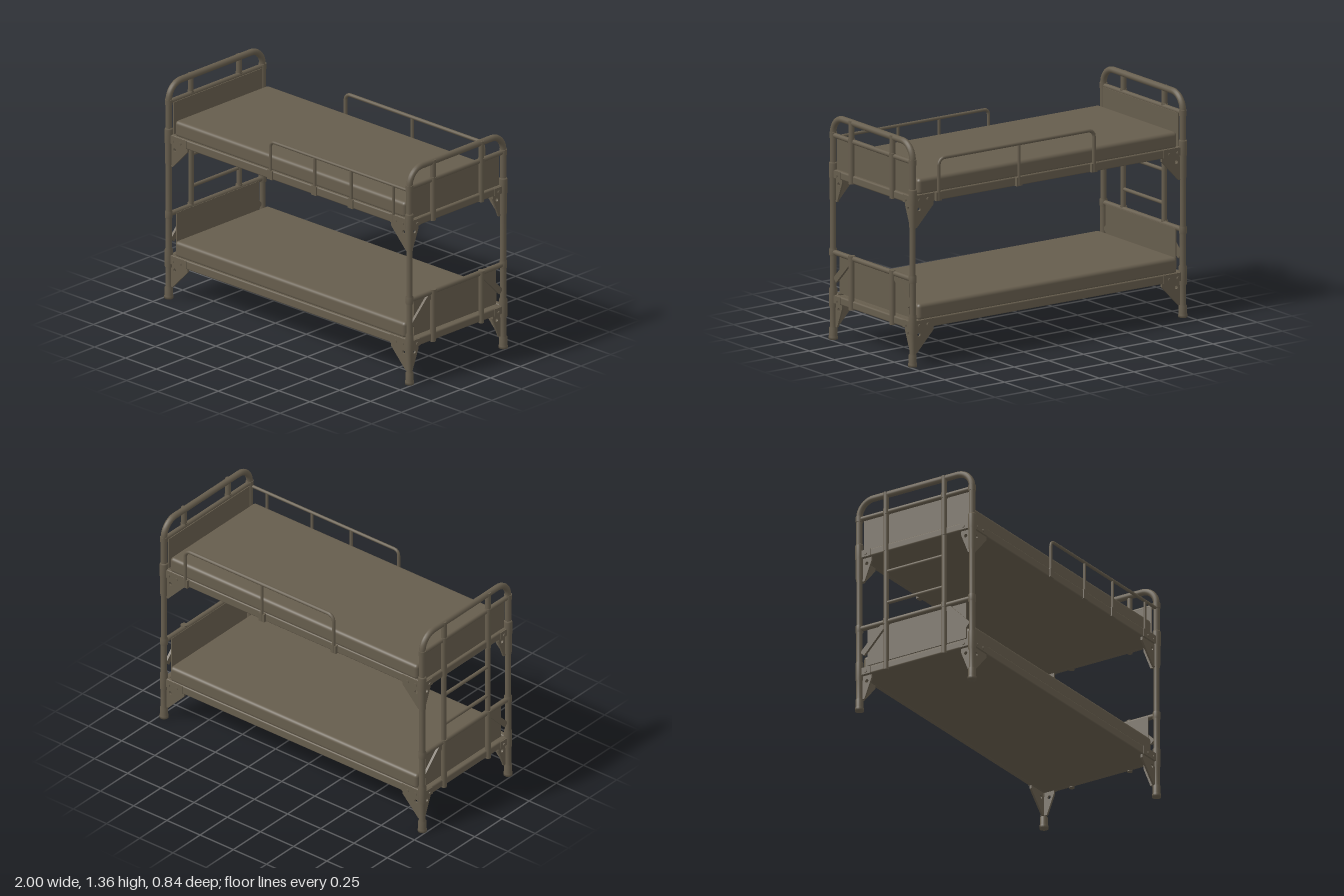
import * as THREE from 'three';
import { RoundedBoxGeometry } from 'three/addons/geometries/RoundedBoxGeometry.js';

const olive = new THREE.MeshStandardMaterial({ color: 0x665d4d });
olive.name = 'drab olive';

const V = (x, y, z) => new THREE.Vector3(x, y, z);
const SIDES = [-1, 1];
const PX = 0.973, PZ = 0.394; // post centres

function add(parent, name, geometry, x = 0, y = 0, z = 0) {
  const mesh = new THREE.Mesh(geometry, olive);
  mesh.name = name;
  mesh.position.set(x, y, z);
  parent.add(mesh);
  return mesh;
}

// Straight round bar between two points
function rod(parent, name, a, b, r, r2 = r) {
  const mesh = add(parent, name, new THREE.CylinderGeometry(r2, r, a.distanceTo(b), 16));
  mesh.position.copy(a).add(b).multiplyScalar(0.5);
  mesh.quaternion.setFromUnitVectors(V(0, 1, 0), b.clone().sub(a).normalize());
  return mesh;
}

// Round tube through points, with rounded bends
function bentTube(parent, name, pts, r, bend) {
  const path = new THREE.CurvePath();
  let from = pts[0];
  for (let i = 1; i < pts.length - 1; i++) {
    const p = pts[i];
    const a = p.clone().add(pts[i - 1].clone().sub(p).setLength(bend));
    const b = p.clone().add(pts[i + 1].clone().sub(p).setLength(bend));
    const k = 0.552; // cubic approximation of a quarter circle
    path.add(new THREE.LineCurve3(from, a));
    path.add(new THREE.CubicBezierCurve3(a, a.clone().lerp(p, k), b.clone().lerp(p, k), b));
    from = b;
  }
  path.add(new THREE.LineCurve3(from, pts[pts.length - 1]));
  return add(parent, name, new THREE.TubeGeometry(path, 90, r, 12));
}

// Triangular corner plate: corner at the origin, running to -x and -y
function gussetGeometry(w, h, t) {
  const s = new THREE.Shape();
  s.moveTo(0, 0);
  s.lineTo(-w, 0);
  s.lineTo(-w, -0.02);
  s.lineTo(-0.02, -h);
  s.lineTo(0, -h);
  s.closePath();
  const hole = new THREE.Path();
  hole.absarc(-0.036, -0.035, 0.011, 0, Math.PI * 2, true);
  s.holes.push(hole);
  const g = new THREE.ExtrudeGeometry(s, { depth: t, bevelEnabled: false, curveSegments: 10 });
  return g.translate(0, 0, -t / 2);
}

// Leg, foot and joint sleeves of one corner
function makePost(root, sx, sz) {
  const post = new THREE.Group();
  post.name = 'cornerPost';
  post.position.set(sx * PX, 0, sz * PZ);
  root.add(post);
  const profile = [[0, 0], [0.027, 0], [0.027, 0.015], [0.024, 0.025], [0.024, 0.07], [0.019, 0.076],
    [0.019, 0.19], [0.024, 0.2], [0.024, 0.305], [0.019, 0.315], [0.019, 0.5], [0.023, 0.505],
    [0.023, 0.545], [0.018, 0.55], [0.018, 0.83], [0.022, 0.85], [0.022, 0.97], [0.025, 0.975],
    [0.025, 1.06], [0.021, 1.068], [0, 1.068]];
  const points = profile.map(([r, y]) => new THREE.Vector2(r, y));
  const lathe = new THREE.LatheGeometry(points, 20);
  add(post, 'leg', lathe);
  add(post, 'railClamp', new THREE.CylinderGeometry(0.023, 0.023, 0.034, 16), 0, 1.23, 0);
}

// Frame, deck, corner plates and mattress of one bunk; y is the rail bottom
function makeBunk(root, y) {
  const bunk = new THREE.Group();
  bunk.name = 'bunk';
  bunk.position.y = y;
  root.add(bunk);
  add(bunk, 'mattress', new RoundedBoxGeometry(1.865, 0.1, 0.785, 4, 0.022), -0.002, 0.096, -0.004);
  add(bunk, 'deck', new THREE.BoxGeometry(1.91, 0.04, 0.76), 0, 0.022, 0);
  for (const s of SIDES) {
    add(bunk, 'sideRail', new RoundedBoxGeometry(1.92, 0.055, 0.03, 2, 0.008), 0, 0.0275, s * 0.385);
    add(bunk, 'endRail', new RoundedBoxGeometry(0.032, 0.05, 0.76, 2, 0.01), s * 0.965, 0.025, 0);
  }
  for (const sx of SIDES) for (const sz of SIDES) {
    const corner = new THREE.Group();
    corner.name = 'cornerBracket';
    bunk.add(corner);
    const side = add(corner, 'sideGusset', gussetGeometry(0.14, 0.145, 0.012), sx * 0.962, 0, sz * 0.388);
    if (sx < 0) side.rotation.y = Math.PI;
    const end = add(corner, 'endGusset', gussetGeometry(0.07, 0.145, 0.012), sx * 0.962, 0, sz * 0.382);
    end.rotation.y = -sz * Math.PI / 2;
    add(corner, 'sidePlate', new THREE.BoxGeometry(0.13, 0.05, 0.008), sx * 0.89, 0.0275, sz * 0.4);
    add(corner, 'endPlate', new THREE.BoxGeometry(0.008, 0.044, 0.06), sx * 0.981, 0.025, sz * 0.342);
    for (const bx of [0.87, 0.93]) {
      const bolt = add(corner, 'bolt', new THREE.CylinderGeometry(0.01, 0.01, 0.01, 6), sx * bx, 0.022, sz * 0.405);
      bolt.rotation.x = Math.PI / 2;
    }
    const endBolt = add(corner, 'bolt', new THREE.CylinderGeometry(0.009, 0.009, 0.01, 6), sx * 0.986, 0.02, sz * 0.342);
    endBolt.rotation.z = Math.PI / 2;
  }
}

// Hoop, cross bars, uprights and panels of one end
function makeEnd(root, s) {
  const end = new THREE.Group();
  end.name = s > 0 ? 'leftEnd' : 'rightEnd';
  root.add(end);
  const x = s * PX;
  bentTube(end, 'hoop', [V(x, 1.0, PZ), V(x, 1.342, PZ), V(x, 1.342, -PZ), V(x, 1.0, -PZ)], 0.0195, 0.1);
  rod(end, 'upperCrossBar', V(x, 1.23, -PZ), V(x, 1.23, PZ), 0.015);
  rod(end, 'lowerCrossBar', V(x, 0.525, -PZ), V(x, 0.525, PZ), 0.016);
  add(end, 'upperPanel', new THREE.BoxGeometry(0.008, 0.2, 0.74), s * 0.958, 1.125, 0);
  add(end, 'lowerPanel', new THREE.BoxGeometry(0.008, 0.24, 0.69), s * 0.958, 0.405, 0);
  for (const sz of SIDES) {
    const z = sz * 0.203, ux = s * 0.979;
    rod(end, 'upperUpright', V(ux, 0.975, z), V(ux, 1.355, z), 0.017);
    rod(end, 'lowerUpright', V(ux, 0.215, z), V(ux, 0.54, z), 0.017);
    const strap = add(end, 'diagonalStrap', new THREE.BoxGeometry(0.016, 0.215, 0.036), s * 0.972, 0.435, sz * 0.295);
    strap.rotation.x = -sz * 0.78;
    for (const y of [0.525, 1.23]) {
      add(end, 'barClamp', new THREE.CylinderGeometry(0.02, 0.02, 0.034, 14), ux, y, z);
    }
  }
}

// Two stiles and two rungs between the bunks
function makeLadder(root) {
  const ladder = new THREE.Group();
  ladder.name = 'ladder';
  root.add(ladder);
  for (const s of SIDES) rod(ladder, 'stile', V(-0.977, 0.5, s * 0.203), V(-0.977, 1.0, s * 0.203), 0.016);
  for (const y of [0.645, 0.845]) rod(ladder, 'rung', V(-0.977, y, -0.2), V(-0.977, y, 0.2), 0.011);
}

// Safety rails along the upper bunk
function makeGuards(root) {
  const front = new THREE.Group();
  front.name = 'frontGuardRail';
  root.add(front);
  bentTube(front, 'guardTube', [V(-0.147, 0.98, 0.397), V(-0.147, 1.212, 0.397), V(0.97, 1.212, 0.397)], 0.0095, 0.03);
  for (const x of [0.21, 0.505, 0.845]) rod(front, 'guardUpright', V(x, 0.98, 0.397), V(x, 1.212, 0.397), 0.009);
  for (const x of [-0.147, 0.21, 0.505]) {
    add(front, 'guardBracket', new THREE.BoxGeometry(0.042, 0.056, 0.014), x, 1.003, 0.4);
  }

  const back = new THREE.Group();
  back.name = 'backGuardRail';
  root.add(back);
  const z = -0.412;
  bentTube(back, 'guardTube', [V(-0.32, 0.98, z), V(-0.32, 1.232, z), V(0.798, 1.232, z), V(0.798, 0.98, z)], 0.011, 0.04);
  rod(back, 'guardUpright', V(0.22, 0.98, z), V(0.22, 1.232, z), 0.01);
  for (const x of [-0.32, 0.22, 0.798]) {
    add(back, 'guardBracket', new THREE.BoxGeometry(0.04, 0.052, 0.022), x, 1.003, -0.408);
  }
}

export function createModel() {
  const root = new THREE.Group();
  root.name = 'bunkBed';
  for (const sx of SIDES) {
    for (const sz of SIDES) makePost(root, sx, sz);
    makeEnd(root, sx);
  }
  makeBunk(root, 0.22);
  makeBunk(root, 0.975);
  makeLadder(root);
  makeGuards(root);
  return root;
}
